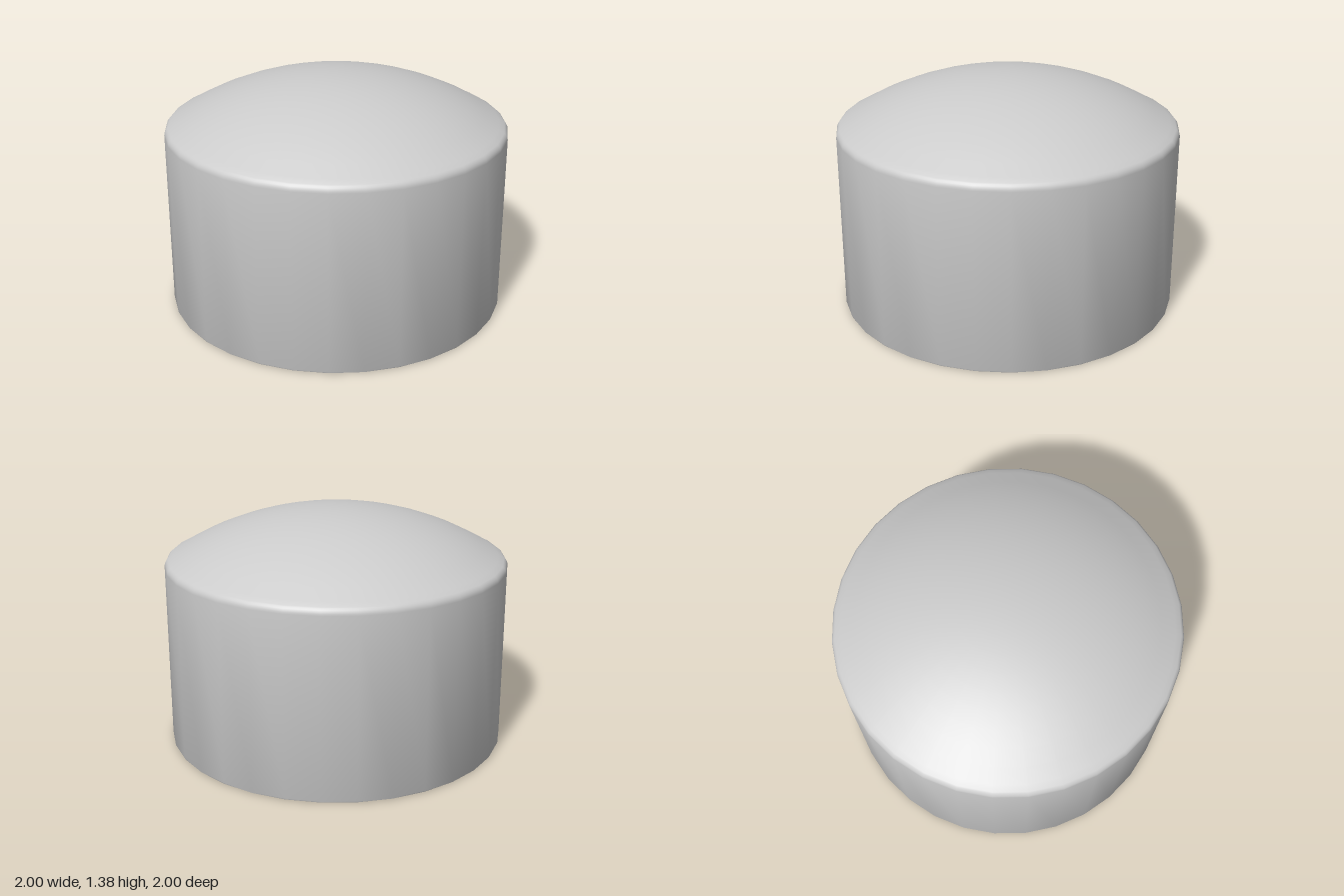
import * as THREE from 'three';
import { toCreasedNormals } from 'three/addons/utils/BufferGeometryUtils.js';

const SEGMENTS = 32;

// Points along an arc, angles in degrees
function arc(cx, cy, radius, from, to, steps) {
  return Array.from({ length: steps + 1 }, (_, i) => {
    const a = THREE.MathUtils.degToRad(from + ((to - from) * i) / steps);
    return [Math.max(0, cx + radius * Math.cos(a)), cy + radius * Math.sin(a)];
  });
}

function turned(name, profile, material) {
  const points = profile.map(([r, y]) => new THREE.Vector2(r, y));
  const geometry = toCreasedNormals(new THREE.LatheGeometry(points, SEGMENTS), 0.6);
  const mesh = new THREE.Mesh(geometry, material);
  mesh.name = name;
  return mesh;
}

export function createModel() {
  const group = new THREE.Group();
  group.name = 'domedCap';
  const material = new THREE.MeshStandardMaterial({ color: 0xcccccc });

  // Outer shell: flat rim, straight wall, rounded shoulder, shallow dome
  const domeRadius = 1.837;
  const domeCentre = 1.38 - domeRadius;
  const outer = [
    [0.87, 0], [0.99, 0], [0.997, 0.003], [1, 0.01],
    ...arc(0.95, 1.06, 0.05, 0, 55, 5),
    ...arc(0, domeCentre, domeRadius, 59, 90, 10),
  ];
  group.add(turned('outerShell', outer, material));

  // Hollow inside: ceiling follows the dome, then the wall drops to the rim
  const ceiling = arc(0, domeCentre, domeRadius - 0.14, 90, 59.2, 8);
  group.add(turned('innerShell', [...ceiling, [0.87, 0]], material));

  // Central tube hanging from the ceiling, its mouth rounded on the inside
  const tube = [
    [0.46, 1.19],
    ...arc(0.54, 0.11, 0.08, 180, 270, 7),
    [0.54, 1.18],
  ];
  group.add(turned('centralTube', tube, material));

  return group;
}
